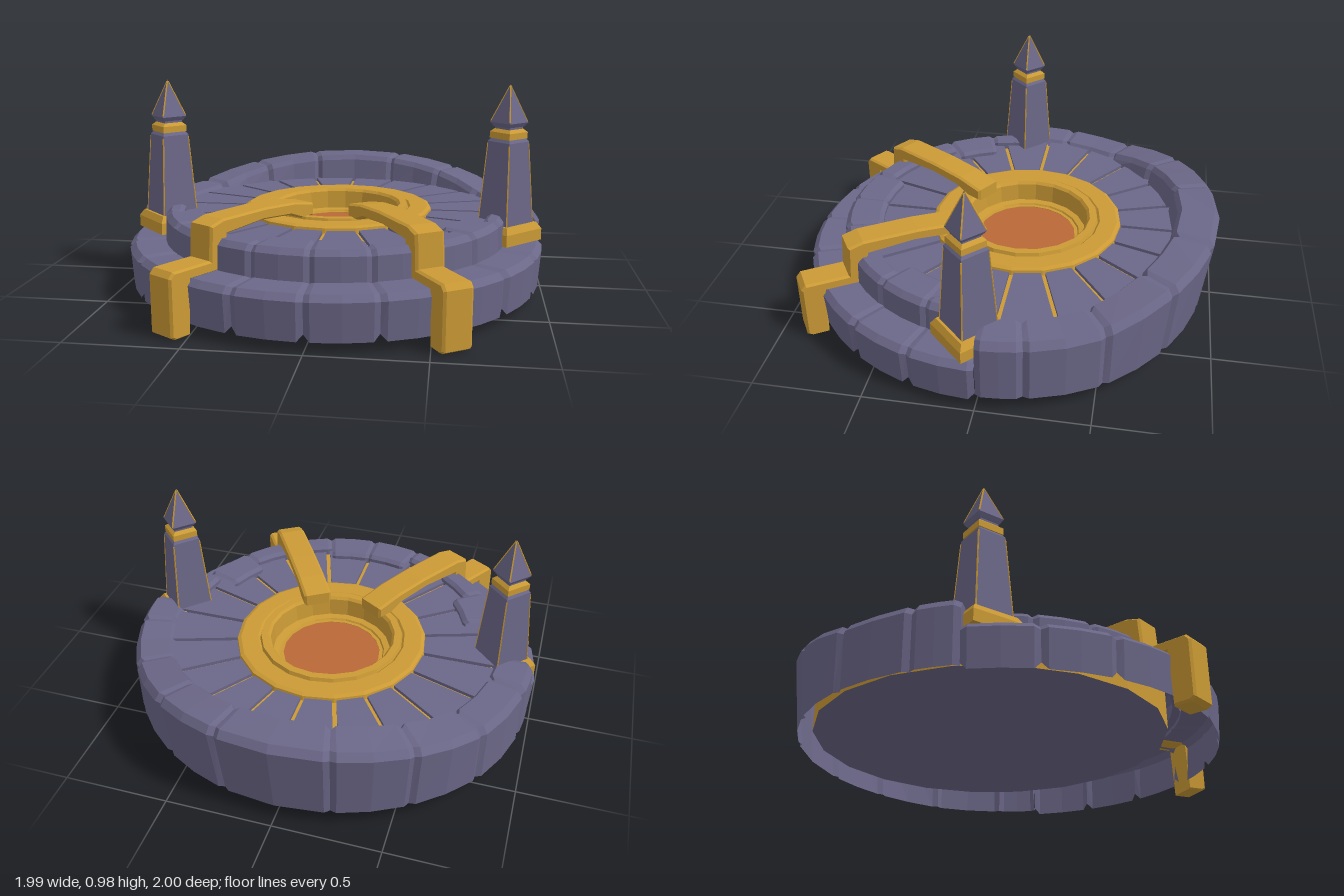
import * as THREE from 'three';

const mat = (name, color) => {
  const m = new THREE.MeshStandardMaterial({ color, flatShading: true, side: THREE.DoubleSide });
  m.name = name;
  return m;
};
const CZ = -0.07; // the dais is centred slightly behind the outer ring
const rad = THREE.MathUtils.degToRad;

// Loft an open profile [r, y] around the y axis; columns are [angle, groove]
function sweep(columns, profile, caps) {
  const cols = columns.map(([a, g]) => profile(a, g).map(([r, y]) =>
    [r * Math.sin(rad(a)), y, r * Math.cos(rad(a))]));
  const n = cols[0].length, pos = [];
  for (let i = 0; i < cols.length - 1; i++) {
    for (let j = 0; j < n - 1; j++) {
      const a = cols[i][j], b = cols[i + 1][j], c = cols[i + 1][j + 1], d = cols[i][j + 1];
      pos.push(...a, ...b, ...c, ...a, ...c, ...d);
    }
  }
  if (caps) {
    const s = cols[0], e = cols[cols.length - 1];
    for (let j = 1; j < n - 1; j++) {
      pos.push(...s[0], ...s[j], ...s[j + 1]);
      pos.push(...e[0], ...e[j + 1], ...e[j]);
    }
  }
  const g = new THREE.BufferGeometry();
  g.setAttribute('position', new THREE.Float32BufferAttribute(pos, 3));
  g.computeVertexNormals();
  return g;
}

// Columns of one stone block, grooved at both ends
const block = (a0, a1, e = 1.6) =>
  [[a0, 1], [a0 + e, 0], [(a0 + a1) / 2, 0], [a1 - e, 0], [a1, 1]];

export function createModel() {
  const root = new THREE.Group();
  const stone = mat('slateStone', 0x6b6788);
  const gold = mat('gold', 0xcb9a35);
  const copper = mat('copper', 0xba6836);
  const add = (parent, name, geo, m, x = 0, y = 0, z = 0) => {
    const mesh = new THREE.Mesh(geo, m);
    mesh.name = name;
    mesh.position.set(x, y, z);
    parent.add(mesh);
    return mesh;
  };
  const lathe = (pts) => new THREE.LatheGeometry(pts.map(p => new THREE.Vector2(...p)), 20);

  // Front step: lower course of blocks, notched along the bottom
  const step = (a, g) => [
    [0.985 - 0.01 * g, 0.05 + 0.03 * g], [0.997 - 0.015 * g, 0.22 - 0.005 * g],
    [0.97 - 0.012 * g, 0.247 - 0.008 * g], [0.79, 0.247 - 0.008 * g]];
  for (let a = -90; a < 90; a += 18) add(root, 'frontStepBlock', sweep(block(a, a + 18), step), stone);

  // Front upper course, with varying depth, mirrored about the middle
  [0.64, 0.71, 0.71, 0.64, 0.74].forEach((inner, i) => {
    const tier = (a, g) => [
      [0.83 - 0.012 * g, 0.23], [0.825 - 0.012 * g, 0.355 - 0.005 * g], [0.8 - 0.012 * g, 0.38 - 0.008 * g],
      [inner + 0.02 + 0.012 * g, 0.38 - 0.008 * g], [inner + 0.012 * g, 0.365 - 0.006 * g], [inner + 0.012 * g, 0.33]];
    for (const a of [i * 18, -18 - i * 18])
      add(root, 'frontUpperBlock', sweep(block(a, a + 18), tier), stone);
  });

  // Back wall, rising and leaning outward toward the rear
  const wall = (a, g) => {
    const t = Math.max(0, (-Math.cos(rad(a)) - 0.5) / 0.5);
    const h = 0.362 + 0.118 * t - 0.008 * g, R = 0.985 + 0.015 * t - 0.014 * g;
    return [[R - 0.045 * t, 0.07 + 0.015 * t], [R, h - 0.035], [R - 0.025, h],
      [0.82 + 0.02 * g, h], [0.8 + 0.02 * g, h - 0.025], [0.78 + 0.02 * g, 0.32]];
  };
  const seams = [90, 102, 123, 144, 165, 195, 216, 237, 258, 270];
  for (let i = 0; i < seams.length - 1; i++) {
    const end = i === 0 || i === seams.length - 2;
    add(root, 'backWallBlock', sweep(block(seams[i], seams[i + 1]), wall, end), stone);
  }

  // Dais: gold drum with a stone underside
  const dais = new THREE.Group();
  dais.name = 'dais';
  dais.position.z = CZ;
  root.add(dais);
  add(dais, 'drum', lathe([[0.832, 0.14], [0.832, 0.33], [0.42, 0.33]]), gold);
  add(dais, 'underside', lathe([[0, 0.14], [0.832, 0.14]]), stone);

  // Stone wedges on the drum; the gold shows in the gaps between them
  const r0 = 0.42, r1 = 0.82, half = (r) => r * Math.tan(rad(9)) - 0.0105;
  const wedge = new THREE.Shape([[r0, -half(r0)], [r1, -half(r1)], [r1, half(r1)], [r0, half(r0)]]
    .map(p => new THREE.Vector2(...p)));
  const wedgeGeo = new THREE.ExtrudeGeometry(wedge, { depth: 0.022, bevelEnabled: false });
  wedgeGeo.rotateX(-Math.PI / 2);
  for (let i = 0; i < 20; i++)
    add(dais, 'deckWedge', wedgeGeo, stone, 0, 0.325, 0).rotation.y = rad(9 + i * 18);

  // Gold ring, rim and basin with a copper floor
  add(dais, 'goldRing', lathe([
    [0.466, 0.335], [0.462, 0.358], [0.445, 0.366], [0.362, 0.366], [0.352, 0.356], [0.346, 0.375], [0.312, 0.375],
    [0.3, 0.362], [0.292, 0.275], [0.262, 0.27], [0.257, 0.262], [0.24, 0.262], [0.24, 0.25]]), gold);
  const floor = add(dais, 'basinFloor', new THREE.CircleGeometry(0.242, 40), copper, 0, 0.26, 0);
  floor.rotation.x = -Math.PI / 2;

  // Gold stepped arms reaching from the basin over the front
  const arm = new THREE.Shape([
    [0.27, 0.42], [0.4, 0.443], [0.58, 0.454], [0.84, 0.453], [0.905, 0.435], [0.915, 0.285],
    [1.12, 0.285], [1.137, 0.265], [1.137, 0.02], [1.12, 0.01], [1.05, 0.01], [1.04, 0.25],
    [0.84, 0.25], [0.83, 0.4], [0.6, 0.418], [0.42, 0.405], [0.34, 0.375], [0.27, 0.375],
  ].map(p => new THREE.Vector2(...p)));
  const armGeo = new THREE.ExtrudeGeometry(arm, {
    depth: 0.115, bevelEnabled: true, bevelSize: 0.008, bevelThickness: 0.012, bevelSegments: 1 });
  armGeo.translate(0, 0, -0.0575);
  for (const s of [1, -1]) {
    const m = add(root, s > 0 ? 'leftArm' : 'rightArm', armGeo, gold, 0, 0, CZ);
    m.rotation.y = rad(s * 32) - Math.PI / 2;
  }

  // Obelisks: four-sided tapering stacks set corner-on
  const tiers = [ // name, bottom radius, top radius, y0, y1, material
    ['foot', 0.17, 0.17, 0.25, 0.305, gold], ['footSlope', 0.17, 0.145, 0.305, 0.335, gold],
    ['shaft', 0.135, 0.095, 0.25, 0.72, stone], ['shaftTop', 0.095, 0.08, 0.72, 0.735, stone],
    ['band', 0.087, 0.087, 0.735, 0.765, gold], ['bandTop', 0.087, 0.065, 0.765, 0.78, gold],
    ['neck', 0.065, 0.065, 0.77, 0.8, stone], ['capBase', 0.07, 0.088, 0.79, 0.81, stone],
    ['cap', 0.088, 0.001, 0.81, 0.985, stone]];
  const ridges = [[0.128, 0.33, 0.096, 0.71], [0.0855, 0.815, 0.004, 0.978]];
  for (const s of [1, -1]) {
    const ob = new THREE.Group();
    ob.name = s > 0 ? 'leftObelisk' : 'rightObelisk';
    ob.position.set(s * 0.82, 0, 0.052);
    root.add(ob);
    for (const [name, b, t, y0, y1, m] of tiers)
      add(ob, name, new THREE.CylinderGeometry(t, b, y1 - y0, 4), m, 0, (y0 + y1) / 2, 0);
    // Fine gold lines along the corners
    for (const [b, y0, t, y1] of ridges) {
      for (let k = 0; k < 4; k++) {
        const line = new THREE.BoxGeometry(0.006, Math.hypot(b - t, y1 - y0), 0.006);
        line.rotateX(-Math.atan2(b - t, y1 - y0));
        line.translate(0, (y0 + y1) / 2, (b + t) / 2 - 0.002);
        line.rotateY(k * Math.PI / 2);
        add(ob, 'cornerLine', line, gold);
      }
    }
  }
  return root;
}
